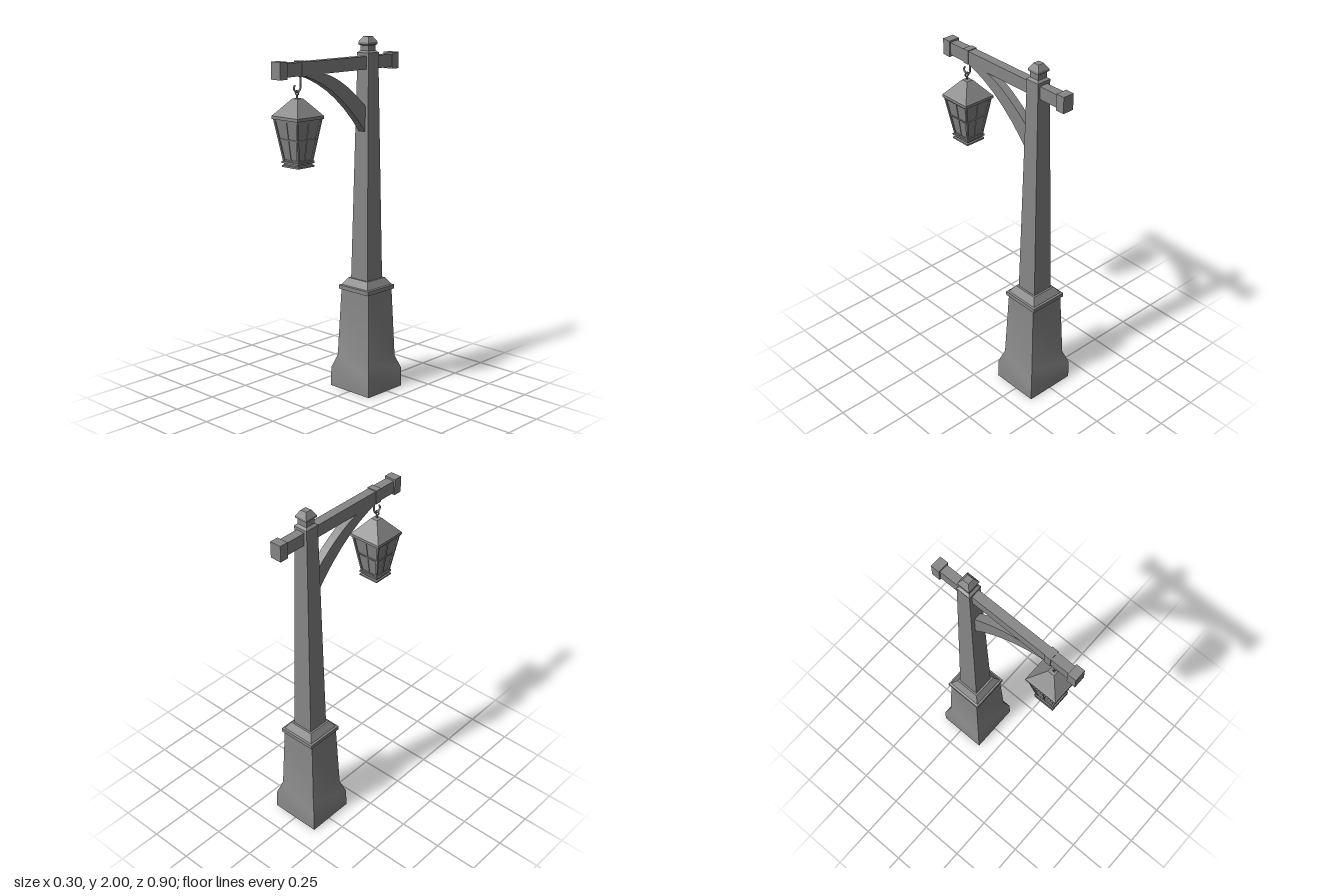
import * as THREE from 'three';
import { toCreasedNormals } from 'three/addons/utils/BufferGeometryUtils.js';

const mat = new THREE.MeshStandardMaterial({ color: 0x868686, flatShading: true });
const smoothMat = new THREE.MeshStandardMaterial({ color: 0x868686 });
const POST_Z = -0.237, LAMP_Z = 0.298, ARM_X = 0.002;

function add(parent, name, geometry, material = mat) {
  const mesh = new THREE.Mesh(geometry, material);
  mesh.name = name;
  parent.add(mesh);
  return mesh;
}

// Square solid from a profile of [half width, height]
function squareLathe(profile, z = 0, depthScale = 1) {
  const pts = profile.map(([r, y]) => new THREE.Vector2(r * Math.SQRT2, y));
  const geo = new THREE.LatheGeometry(pts, 4, Math.PI / 4);
  geo.scale(1, 1, depthScale);
  geo.translate(0, 0, z);
  return geo.toNonIndexed();
}

function box(parent, name, w, h, d, x, y, z) {
  const mesh = add(parent, name, new THREE.BoxGeometry(w, h, d));
  mesh.position.set(x, y, z);
  return mesh;
}

// Straight square bar between two points
function bar(parent, name, a, b, w) {
  const from = new THREE.Vector3(...a), to = new THREE.Vector3(...b);
  const mesh = add(parent, name, new THREE.BoxGeometry(w, from.distanceTo(to), w));
  mesh.position.copy(from).add(to).multiplyScalar(0.5);
  mesh.quaternion.setFromUnitVectors(new THREE.Vector3(0, 1, 0), to.sub(from).normalize());
}

function createPost(root) {
  const post = new THREE.Group();
  post.name = 'post';
  root.add(post);
  // Plinth, hollow from below, softly shaded across the flare
  const plinth = squareLathe([
    [0, 0.57], [0.088, 0.57], [0.106, 0.18], [0.136, 0], [0.148, 0],
    [0.146, 0.11], [0.119, 0.185], [0.103, 0.59],
  ], POST_Z, 0.94);
  add(post, 'plinth', toCreasedNormals(plinth, 0.7), smoothMat);
  add(post, 'collar', squareLathe([
    [0, 0.583], [0.111, 0.583], [0.111, 0.606], [0.1, 0.609], [0.073, 0.648], [0, 0.648],
  ], POST_Z));
  add(post, 'shaft', squareLathe([[0, 0.64], [0.062, 0.64], [0.04, 1.905], [0, 1.905]], POST_Z));
  add(post, 'finial', squareLathe([
    [0, 1.9], [0.042, 1.9], [0.042, 1.914], [0.029, 1.924], [0.029, 1.952],
    [0.037, 1.958], [0.037, 1.97], [0.018, 2], [0, 2],
  ], POST_Z));
}

function createArm(root) {
  const arm = new THREE.Group();
  arm.name = 'arm';
  arm.position.x = ARM_X;
  root.add(arm);
  box(arm, 'beam', 0.05, 0.07, 0.84, 0, 1.861, 0);
  for (const s of [1, -1]) box(arm, 'beamEndCap', 0.066, 0.09, 0.05, 0, 1.861, s * 0.425);
  box(arm, 'hookBand', 0.058, 0.079, 0.038, 0, 1.861, 0.275);

  // Curved brace, drawn in the z-y plane
  const shape = new THREE.Shape();
  shape.moveTo(0.285, 1.828);
  shape.quadraticCurveTo(0.02, 1.76, -0.2, 1.475);
  shape.lineTo(-0.2, 1.62);
  shape.quadraticCurveTo(-0.01, 1.8, 0.14, 1.83);
  const geo = new THREE.ExtrudeGeometry(shape, { depth: 0.046, bevelEnabled: false, curveSegments: 7 });
  geo.rotateY(-Math.PI / 2);
  geo.translate(0.023, 0, 0);
  add(arm, 'brace', geo);
}

function createLantern(root) {
  const lantern = new THREE.Group();
  lantern.name = 'lantern';
  lantern.position.set(ARM_X, 0, LAMP_Z);
  root.add(lantern);

  add(lantern, 'roof', squareLathe([
    [0, 1.605], [0.096, 1.605], [0.096, 1.621], [0.09, 1.627], [0.02, 1.71], [0, 1.712],
  ]));
  add(lantern, 'glass', squareLathe([[0, 1.38], [0.048, 1.38], [0.083, 1.606], [0, 1.606]]));
  add(lantern, 'floor', squareLathe([
    [0, 1.355], [0.06, 1.355], [0.06, 1.364], [0.052, 1.367], [0.052, 1.374],
    [0.061, 1.376], [0.061, 1.386], [0, 1.386],
  ]));

  // Frame bars, repeated on the four sides; rails lean with the glass
  const rails = [
    ['crossBar', 0.136, 0.008, 1.5, 0.067],
    ['topRail', 0.166, 0.012, 1.599, 0.082],
    ['bottomRail', 0.1, 0.01, 1.39, 0.05],
  ];
  for (let i = 0; i < 4; i++) {
    const side = new THREE.Group();
    side.name = 'frameSide';
    side.rotation.y = i * Math.PI / 2;
    lantern.add(side);
    bar(side, 'cornerBar', [0.049, 1.38, 0.049], [0.085, 1.607, 0.085], 0.011);
    bar(side, 'mullion', [0, 1.38, 0.0485], [0, 1.606, 0.0835], 0.006);
    for (const [name, w, h, y, z] of rails) {
      box(side, name, w, h, 0.008, 0, y, z).rotation.x = 0.154;
    }
  }

  // Hook hanging from the beam, with the lantern's ring caught in its bend
  const hookPoints = [
    [-0.021, 1.83], [-0.021, 1.79], [-0.021, 1.765], [-0.013, 1.75], [0.004, 1.744],
    [0.02, 1.751], [0.026, 1.765], [0.02, 1.777],
  ].map(([z, y]) => new THREE.Vector3(0, y, z));
  const hookCurve = new THREE.CatmullRomCurve3(hookPoints);
  add(lantern, 'hook', new THREE.TubeGeometry(hookCurve, 28, 0.005, 8), smoothMat);
  add(lantern, 'hookTip', new THREE.SphereGeometry(0.005, 8, 6), smoothMat)
    .position.copy(hookPoints[hookPoints.length - 1]);
  add(lantern, 'ring', new THREE.TorusGeometry(0.011, 0.004, 8, 16), smoothMat).position.set(0, 1.74, 0.004);
  add(lantern, 'ringStem', new THREE.CylinderGeometry(0.005, 0.005, 0.03, 8), smoothMat).position.set(0, 1.716, 0.004);
}

export function createModel() {
  const root = new THREE.Group();
  root.name = 'streetLamp';
  createPost(root);
  createArm(root);
  createLantern(root);
  return root;
}
